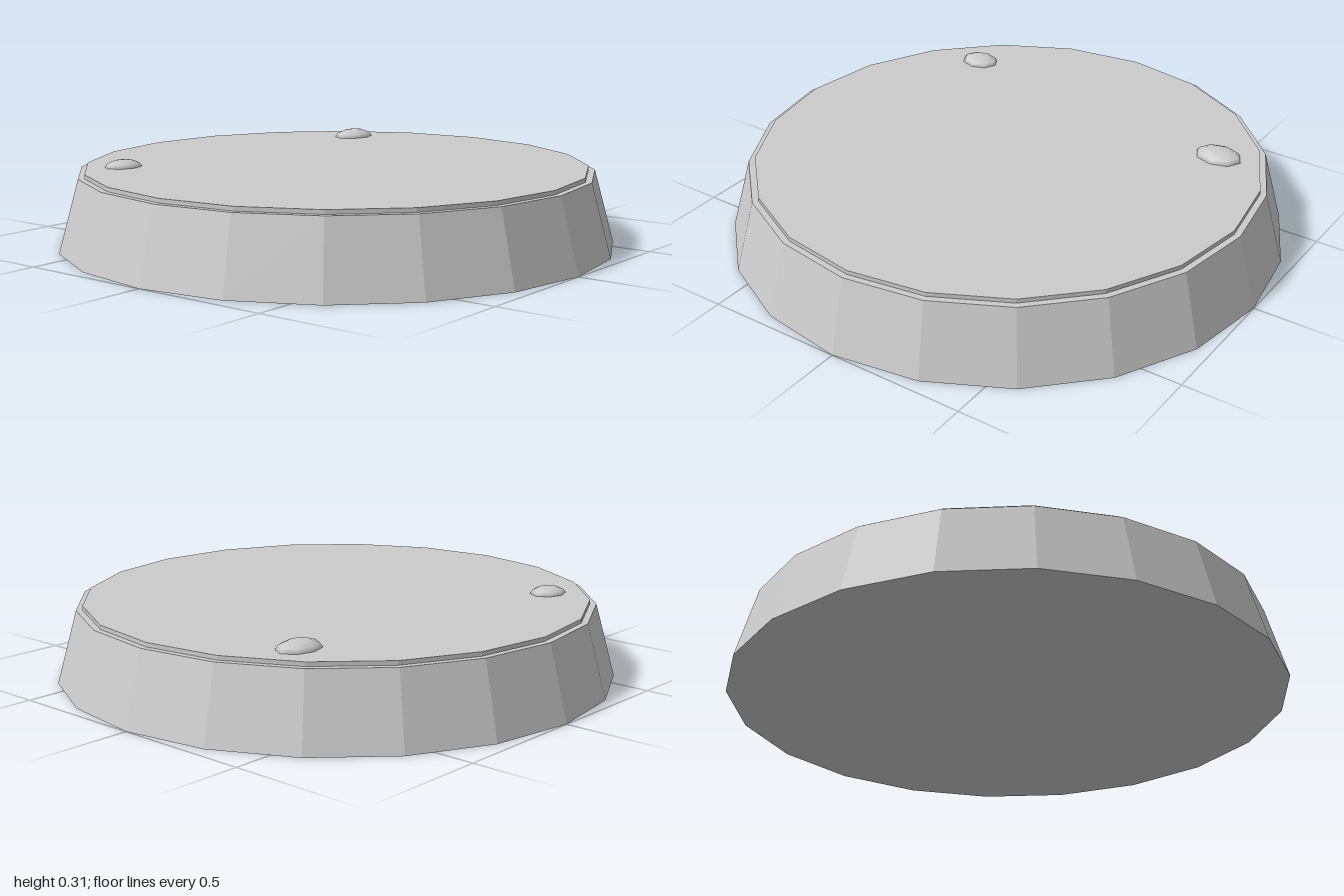
import * as THREE from 'three';

const SIDES = 20;

export function createModel() {
  const group = new THREE.Group();
  const faceted = new THREE.MeshStandardMaterial({ color: 0xcccccc, flatShading: true });
  const smooth = new THREE.MeshStandardMaterial({ color: 0xcccccc });

  const add = (name, geometry, material, x, y, z) => {
    const mesh = new THREE.Mesh(geometry, material);
    mesh.name = name;
    mesh.position.set(x, y, z);
    group.add(mesh);
    return mesh;
  };

  // Tapered plinth
  add('base', new THREE.CylinderGeometry(0.928, 1, 0.26, SIDES), faceted, 0, 0.13, 0);

  // Thin ground disc, slightly inset from the rim
  add('groundDisc', new THREE.CylinderGeometry(0.905, 0.905, 0.035, SIDES), faceted, 0, 0.2575, 0);

  // Flattened pebbles half sunk into the ground: x, z, radii
  const pebbles = [
    ['leftPebble', 0.63, -0.41, 0.088, 0.031, 0.066],
    ['rightPebble', -0.52, -0.56, 0.074, 0.027, 0.06],
  ];
  for (const [name, x, z, rx, ry, rz] of pebbles) {
    add(name, new THREE.SphereGeometry(1, 8, 6), smooth, x, 0.274, z).scale.set(rx, ry, rz);
  }
  return group;
}
